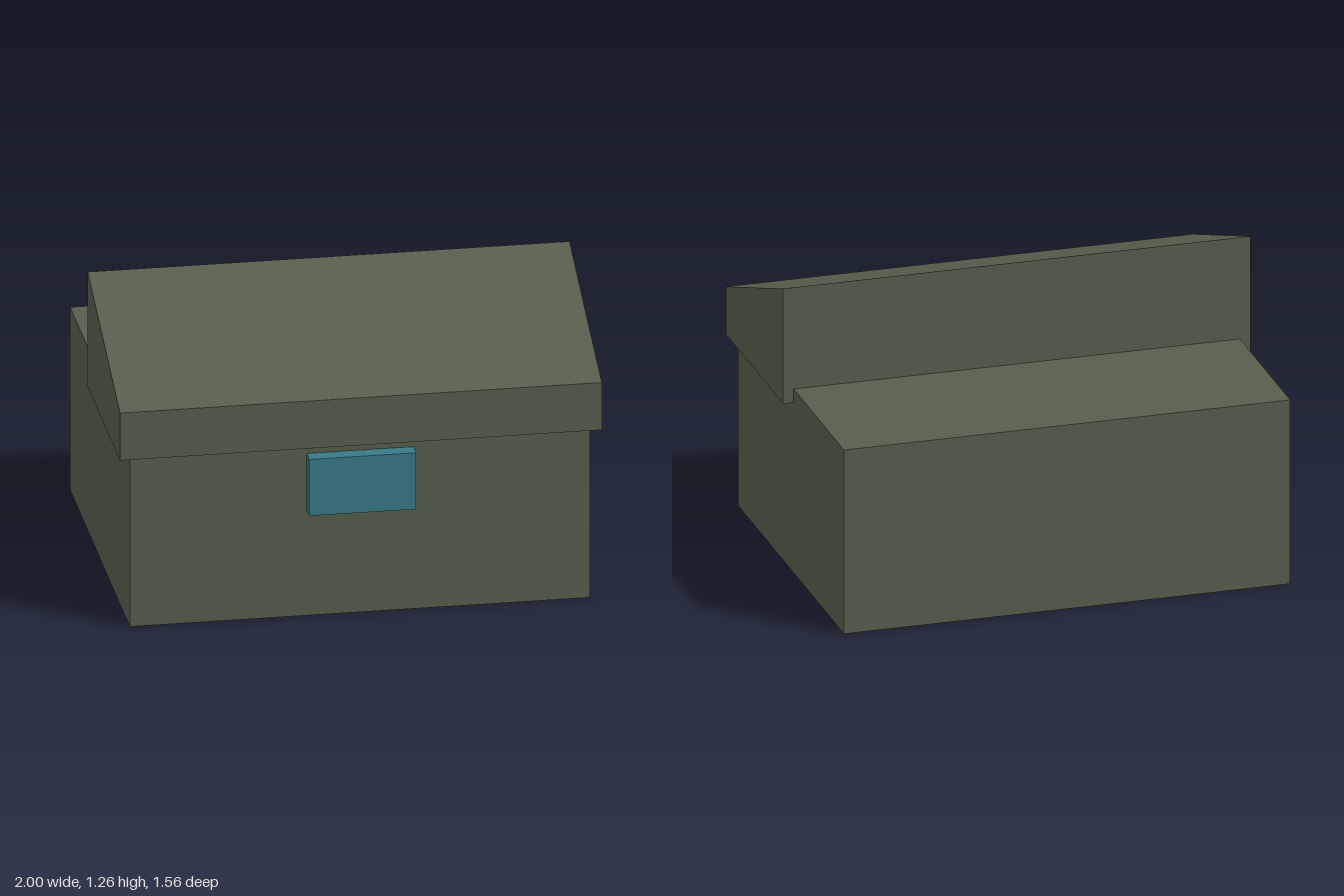
import * as THREE from 'three';

export function createModel() {
  const model = new THREE.Group();
  model.name = 'storageBox';

  const olive = new THREE.MeshStandardMaterial({ color: 0x565f4c });
  olive.name = 'olive';
  const teal = new THREE.MeshStandardMaterial({ color: 0x397a87 });
  teal.name = 'teal';

  // Box between two corners, centred on x
  function addBox(name, material, halfWidth, y0, y1, z0, z1) {
    const geometry = new THREE.BoxGeometry(halfWidth * 2, y1 - y0, z1 - z0);
    const mesh = new THREE.Mesh(geometry, material);
    mesh.position.set(0, (y0 + y1) / 2, (z0 + z1) / 2);
    mesh.name = name;
    model.add(mesh);
  }

  // Main body
  addBox('body', olive, 0.955, 0, 0.81, -0.78, 0.708);

  // Latch on the front
  addBox('latch', teal, 0.222, 0.47, 0.72, 0.714, 0.78);

  // Sloped lid: side profile (z, y) extruded along x
  const profile = new THREE.Shape([
    new THREE.Vector2(-0.735, 0.75),
    new THREE.Vector2(0.072, 0.75),
    new THREE.Vector2(0.072, 1.257),
    new THREE.Vector2(-0.735, 0.96),
  ]);
  const lidGeometry = new THREE.ExtrudeGeometry(profile, { depth: 2, bevelEnabled: false });
  lidGeometry.translate(0, 0, -1);
  lidGeometry.rotateY(Math.PI / 2); // profile x becomes -z
  const lid = new THREE.Mesh(lidGeometry, olive);
  lid.name = 'lid';
  model.add(lid);

  return model;
}
